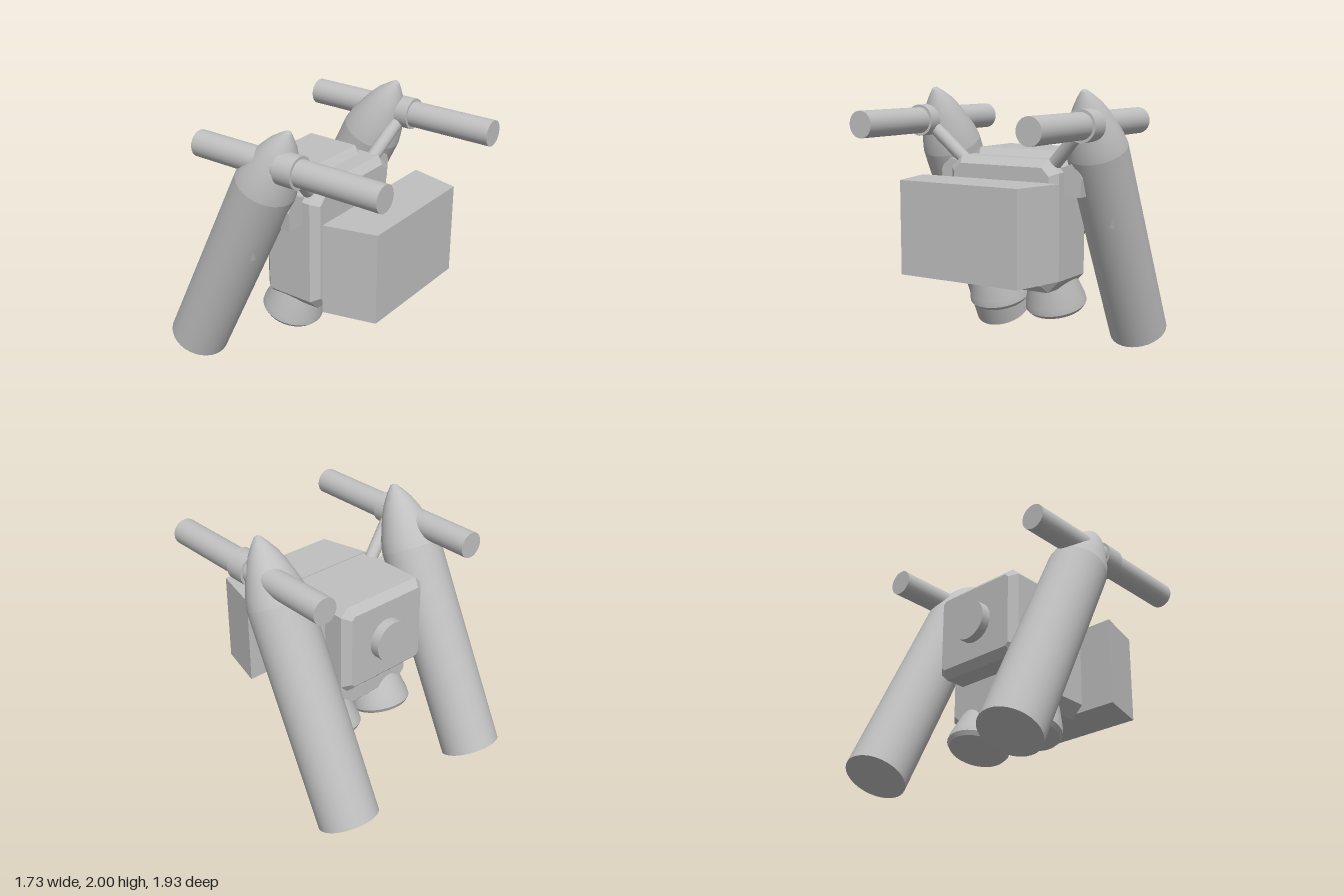
import * as THREE from 'three';
import { toCreasedNormals } from 'three/addons/utils/BufferGeometryUtils.js';

export function createModel() {
  const model = new THREE.Group();
  const grey = new THREE.MeshStandardMaterial({ color: 0xc0c0c0 });
  grey.name = 'light grey';

  function add(name, geometry, parent = model) {
    const mesh = new THREE.Mesh(geometry, grey);
    mesh.name = name;
    parent.add(mesh);
    return mesh;
  }

  // Closed outline from [x, y] pairs
  const outline = (pts) => new THREE.Shape(pts.map(([x, y]) => new THREE.Vector2(x, y)));

  // Smooth turned shape with sharp edges kept
  const lathe = (pts) => toCreasedNormals(
    new THREE.LatheGeometry(pts.map(([r, y]) => new THREE.Vector2(r, y)), 32), 0.6);

  // Box with cut corners and chamfered front and back edges
  function chamferBox(x, y0, y1, z0, z1, corner, bevel) {
    const w = x - bevel, b = y0 + bevel, t = y1 - bevel, c = corner;
    const shape = outline([
      [-w + c, b], [w - c, b], [w, b + c], [w, t - c],
      [w - c, t], [-w + c, t], [-w, t - c], [-w, b + c],
    ]);
    const geo = new THREE.ExtrudeGeometry(shape, {
      depth: z1 - z0 - 2 * bevel, bevelEnabled: true, bevelSegments: 1,
      bevelSize: bevel, bevelThickness: bevel,
    });
    return geo.translate(0, 0, z0 + bevel);
  }

  // Rod between two points
  function rod(name, from, to, r) {
    const a = new THREE.Vector3(...from), b = new THREE.Vector3(...to);
    const mesh = add(name, new THREE.CylinderGeometry(r, r, a.distanceTo(b), 24));
    mesh.position.copy(a).add(b).multiplyScalar(0.5);
    mesh.quaternion.setFromUnitVectors(new THREE.Vector3(0, 1, 0), b.sub(a).normalize());
    return mesh;
  }

  // Main pack: deep front housing and higher rear housing
  add('frontHousing', chamferBox(0.465, 0.54, 1.505, -0.23, 0.25, 0.06, 0.055));
  add('rearHousing', chamferBox(0.385, 0.87, 1.555, -0.45, 0.07, 0.025, 0.055));

  // Round cap on the back
  rod('backCap', [0, 1.21, -0.42], [0, 1.21, -0.525], 0.155);

  // Separate chest block, narrowing toward the front
  const chest = new THREE.ExtrudeGeometry(
    outline([[-0.585, -0.4], [-0.49, -0.785], [0.49, -0.785], [0.585, -0.4]]),
    { depth: 0.68, bevelEnabled: false });
  add('chestBlock', chest.rotateX(-Math.PI / 2).translate(0, 0.685, 0));

  for (const s of [-1, 1]) {
    const side = s > 0 ? 'left' : 'right';

    // Leaning booster with a pointed nose
    const booster = new THREE.Group();
    booster.name = side + 'Booster';
    booster.position.set(s * 0.64, 0.1, -0.76);
    booster.rotation.x = 0.455;
    model.add(booster);
    add(side + 'BoosterTube', lathe([[0, 0], [0.225, 0], [0.225, 1.64]]), booster);
    add(side + 'BoosterNose', lathe([
      [0.225, 1.64], [0.207, 1.73], [0.177, 1.82], [0.145, 1.91],
      [0.107, 1.99], [0.06, 2.06], [0.022, 2.108], [0, 2.115],
    ]), booster);

    // Small spike on the booster front
    const spike = add(side + 'Spike', new THREE.ConeGeometry(0.03, 0.12, 12));
    spike.position.set(s * 0.75, 1.07, -0.085);
    spike.rotation.set(0.45, 0, s * -0.35);

    // Barrel with a collar
    rod(side + 'Barrel', [s * 0.69, 1.757, -0.585], [s * 0.69, 1.757, 0.965], 0.097);
    rod(side + 'BarrelCollar', [s * 0.69, 1.757, 0.15], [s * 0.69, 1.757, 0.3], 0.117);

    // Strut from the collar down to the pack
    rod(side + 'Strut', [s * 0.66, 1.74, 0.21], [s * 0.33, 1.41, 0.12], 0.05);

    // Mount joining the booster to the pack
    const mount = outline([
      [s * 0.375, 1.24], [s * 0.6, 1.24], [s * 0.61, 1.38],
      [s * 0.56, 1.49], [s * 0.46, 1.45], [s * 0.375, 1.43],
    ]);
    add(side + 'Mount', new THREE.ExtrudeGeometry(mount, { depth: 0.3, bevelEnabled: false })
      .translate(0, 0, -0.17));

    // Gusset running up the inside of the nose
    const gusset = outline([[s * 0.46, 1.44], [s * 0.6, 1.44], [s * 0.58, 1.77], [s * 0.525, 1.77]]);
    add(side + 'Gusset', new THREE.ExtrudeGeometry(gusset, { depth: 0.14, bevelEnabled: false })
      .translate(0, 0, -0.09));

    // Tilted thruster under the pack
    const thruster = add(side + 'Thruster', lathe([
      [0, 0], [0.21, 0], [0.232, 0.03], [0.225, 0.08], [0.15, 0.33], [0, 0.33],
    ]));
    thruster.position.set(s * 0.255, 0.365, -0.14);
    thruster.rotation.x = 0.28;
  }

  return model;
}
